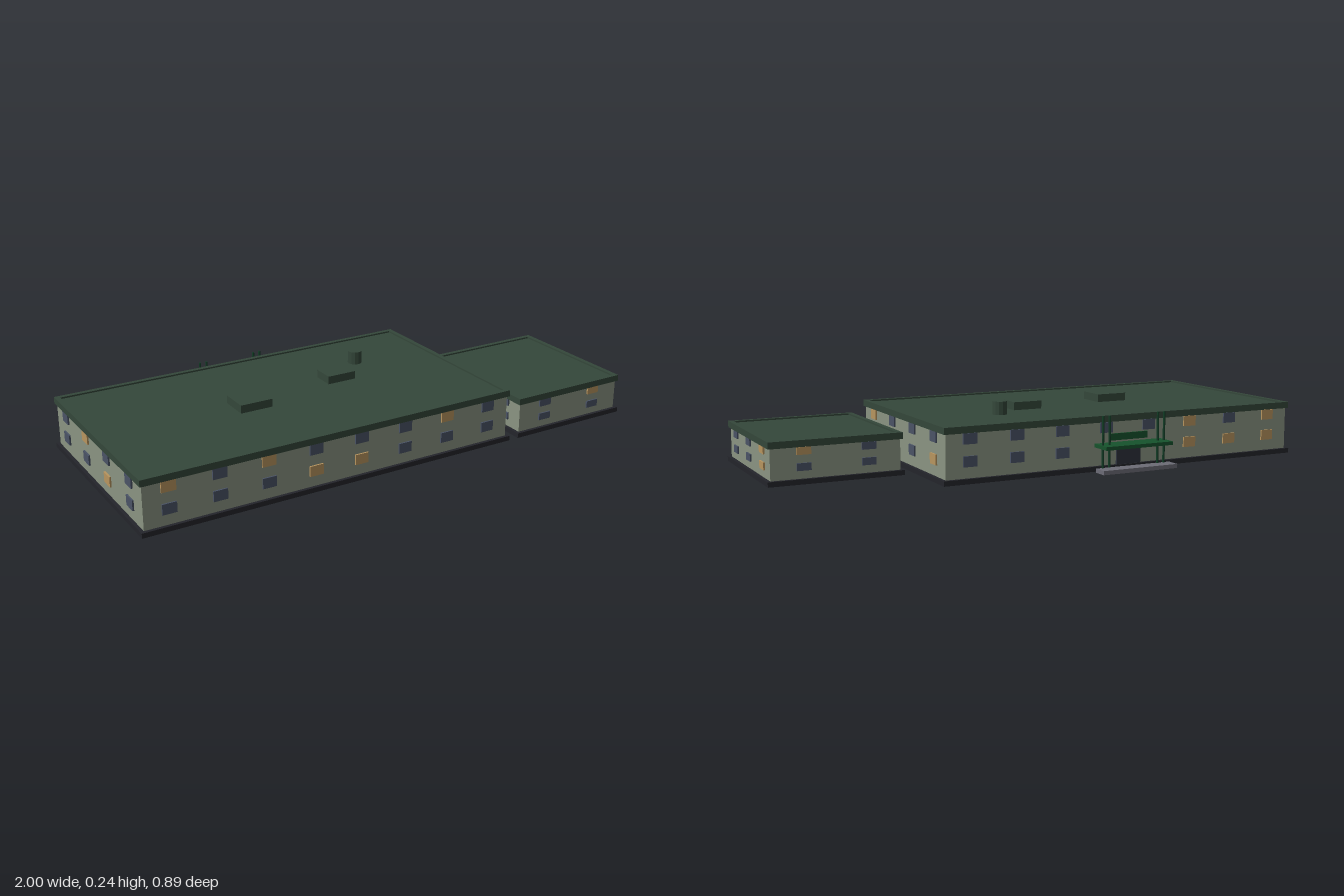
import * as THREE from 'three';

const mat = (color) => new THREE.MeshStandardMaterial({ color, flatShading: true });
const M = {
  wall: mat(0x8a9482), trim: mat(0x34473a), plinth: mat(0x24252b), dark: mat(0x4a5366),
  lit: mat(0xb8955f), canopy: mat(0x16532c), post: mat(0x123d26), step: mat(0x6c6c76), door: mat(0x2c313c),
};

// Box given by its lower and upper limits on each axis
function box(name, [x0, x1], [y0, y1], [z0, z1], material) {
  const mesh = new THREE.Mesh(new THREE.BoxGeometry(x1 - x0, y1 - y0, z1 - z0), material);
  mesh.position.set((x0 + x1) / 2, (y0 + y1) / 2, (z0 + z1) / 2);
  mesh.name = name;
  return mesh;
}

function cylinder(name, r, y0, y1, x, z, sides, material) {
  const mesh = new THREE.Mesh(new THREE.CylinderGeometry(r, r, y1 - y0, sides), material);
  mesh.position.set(x, (y0 + y1) / 2, z);
  mesh.name = name;
  return mesh;
}

const rectangle = (P, w, d) => new P([
  new THREE.Vector2(-w / 2, -d / 2), new THREE.Vector2(w / 2, -d / 2),
  new THREE.Vector2(w / 2, d / 2), new THREE.Vector2(-w / 2, d / 2),
]);

// Open rectangular rim around the roof
function parapet(w, d, height, rim) {
  const shape = rectangle(THREE.Shape, w, d);
  shape.holes.push(rectangle(THREE.Path, w - 2 * rim, d - 2 * rim));
  const geo = new THREE.ExtrudeGeometry(shape, { depth: height, bevelEnabled: false });
  return new THREE.Mesh(geo.rotateX(-Math.PI / 2), M.trim);
}

// Two-storey block. Each facade is [lower row, upper row], read left to right
// from outside: '#' dark window, 'o' lit window, '.' none
function block(name, [x0, x1], [z0, z1], eaves, facades) {
  const g = new THREE.Group();
  g.name = name;
  const w = x1 - x0, d = z1 - z0, base = 0.018, over = 0.0125, eave = 0.0075;
  const cx = (x0 + x1) / 2, cz = (z0 + z1) / 2, top = eaves + 0.024;
  g.add(box('plinth', [x0 - over, x1 + over], [0, base], [z0 - over, z1 + over], M.plinth));
  g.add(box('walls', [x0, x1], [base, eaves], [z0, z1], M.wall));
  g.add(box('roof', [x0, x1], [eaves, top - 0.006], [z0, z1], M.trim));
  const rim = parapet(w + 2 * eave, d + 2 * eave, top - eaves, 0.018);
  rim.position.set(cx, eaves, cz);
  rim.name = 'parapet';
  g.add(rim);

  const storey = (eaves - base) / 2;
  const sides = { front: [0, w, d], right: [Math.PI / 2, d, w], back: [Math.PI, w, d], left: [-Math.PI / 2, d, w] };
  for (const [side, [angle, length, depth]] of Object.entries(sides)) {
    const facade = new THREE.Group();
    facade.name = side + 'Windows';
    facade.position.set(cx, 0, cz);
    facade.rotation.y = angle;
    facades[side].forEach((row, floor) => [...row].forEach((c, i) => {
      if (c === '.') return;
      const x = ((i + 0.5) / row.length - 0.5) * length;
      const y = base + storey * (floor + 0.75), h = storey * 0.24;
      facade.add(box('window', [x - 0.026, x + 0.026], [y - h, y + h],
        [depth / 2 - 0.004, depth / 2 + 0.006], c === 'o' ? M.lit : M.dark));
    }));
    g.add(facade);
  }
  return g;
}

export function createModel() {
  const model = new THREE.Group();
  model.name = 'building';

  model.add(block('mainBlock', [-0.987, 0.452], [-0.352, 0.433], 0.176, {
    front: ['###oo###', 'o#o###o#'],
    right: ['###o', 'o###'],
    back: ['###..ooo', '#####o#o'],
    left: ['##o#', '#o##'],
  }));
  model.add(block('annex', [0.517, 0.987], [-0.1, 0.433], 0.129, {
    front: ['##', '#o'],
    right: ['##o', '##o'],
    back: ['##', 'o#'],
    left: ['###', '###'],
  }));

  // Rooftop equipment
  model.add(box('roofUnit', [-0.477, -0.353], [0.19, 0.224], [0.003, 0.115], M.trim));
  model.add(box('roofUnit', [-0.072, 0.042], [0.19, 0.224], [-0.052, 0.033], M.trim));
  model.add(cylinder('chimney', 0.027, 0.19, 0.243, 0.134, -0.117, 12, M.trim));

  // Rear entrance
  const entrance = new THREE.Group();
  entrance.name = 'entrance';
  const cx = -0.27;
  entrance.add(box('door', [cx - 0.05, cx + 0.05], [0.018, 0.085], [-0.36, -0.35], M.door));
  entrance.add(box('signBand', [cx - 0.08, cx + 0.08], [0.107, 0.132], [-0.358, -0.35], M.canopy));
  entrance.add(box('canopy', [cx - 0.14, cx + 0.14], [0.087, 0.1], [-0.436, -0.35], M.canopy));
  entrance.add(box('step', [cx - 0.155, cx + 0.155], [0.002, 0.017], [-0.445, -0.391], M.step));
  for (const s of [-1, 1]) for (const dx of [0.102, 0.129]) {
    entrance.add(cylinder('post', 0.0045, 0.016, 0.205, cx + s * dx, -0.393, 8, M.post));
  }
  model.add(entrance);
  return model;
}
